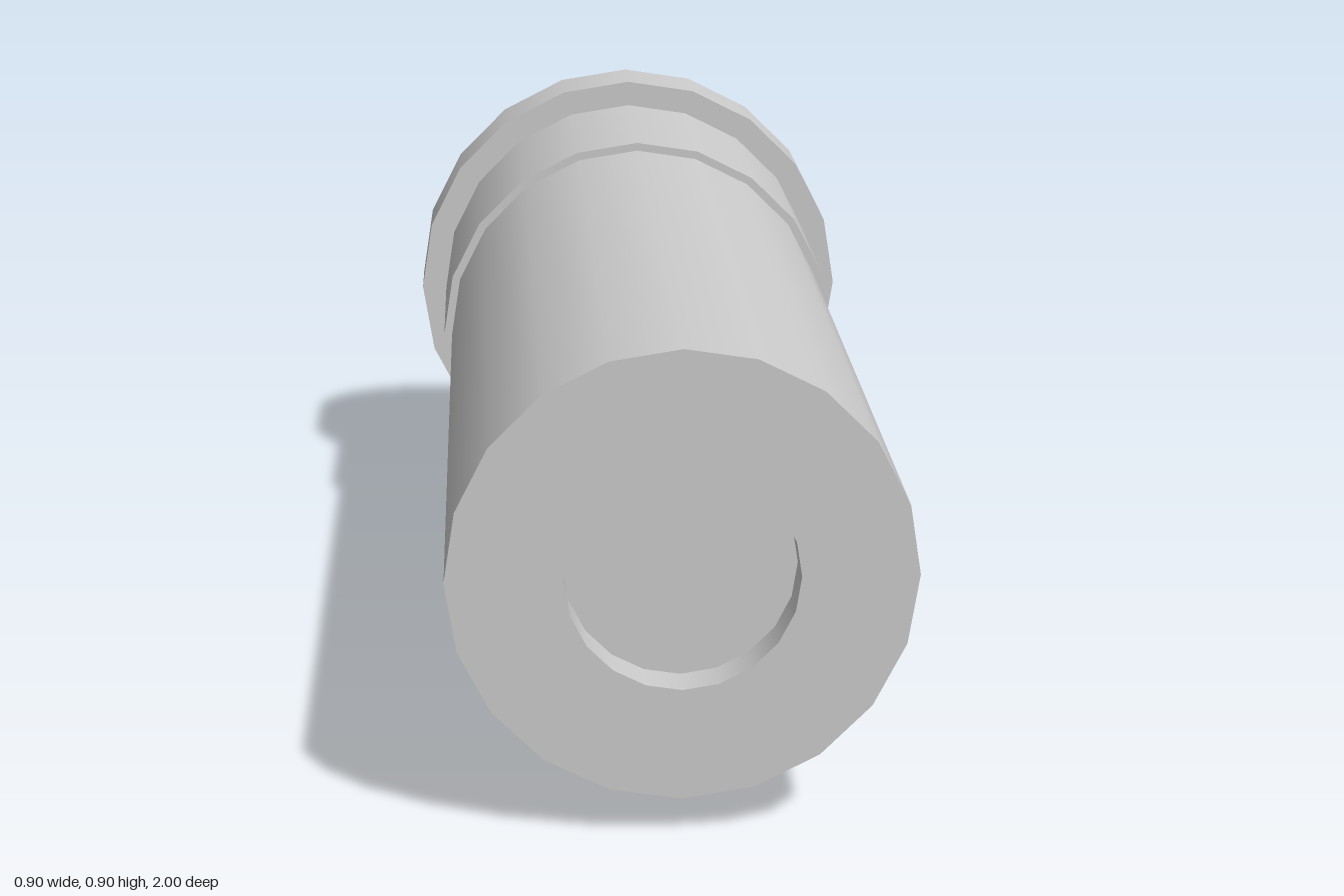
import * as THREE from 'three';
import { mergeGeometries } from 'three/addons/utils/BufferGeometryUtils.js';

const SIDES = 20;
const CENTRE_Y = 0.451;

// Turns a [radius, z] profile about the z axis, keeping every profile corner sharp.
function turned(name, profile, material) {
  const bands = [];
  for (let i = 0; i < profile.length - 1; i++) {
    const ends = [profile[i], profile[i + 1]].map(([r, z]) => new THREE.Vector2(r, z));
    bands.push(new THREE.LatheGeometry(ends, SIDES));
  }
  const geometry = mergeGeometries(bands).rotateX(Math.PI / 2);
  const mesh = new THREE.Mesh(geometry, material);
  mesh.name = name;
  mesh.position.y = CENTRE_Y;
  return mesh;
}

export function createModel() {
  const group = new THREE.Group();
  group.name = 'flangedCylinder';
  const grey = new THREE.MeshStandardMaterial({ color: 0xcccccc });

  // Wide disc closing the back end
  group.add(turned('backFlange', [[0, -1], [0.451, -1], [0.451, -0.857], [0.4, -0.857]], grey));

  // Slightly raised collar in front of the flange
  group.add(turned('collar', [[0.4, -0.857], [0.4, -0.467], [0.384, -0.467]], grey));

  // Long barrel with a shallow round recess in its front face
  group.add(turned('barrel', [[0.384, -0.467], [0.384, 1], [0.192, 1], [0.192, 0.93], [0, 0.93]], grey));

  return group;
}
